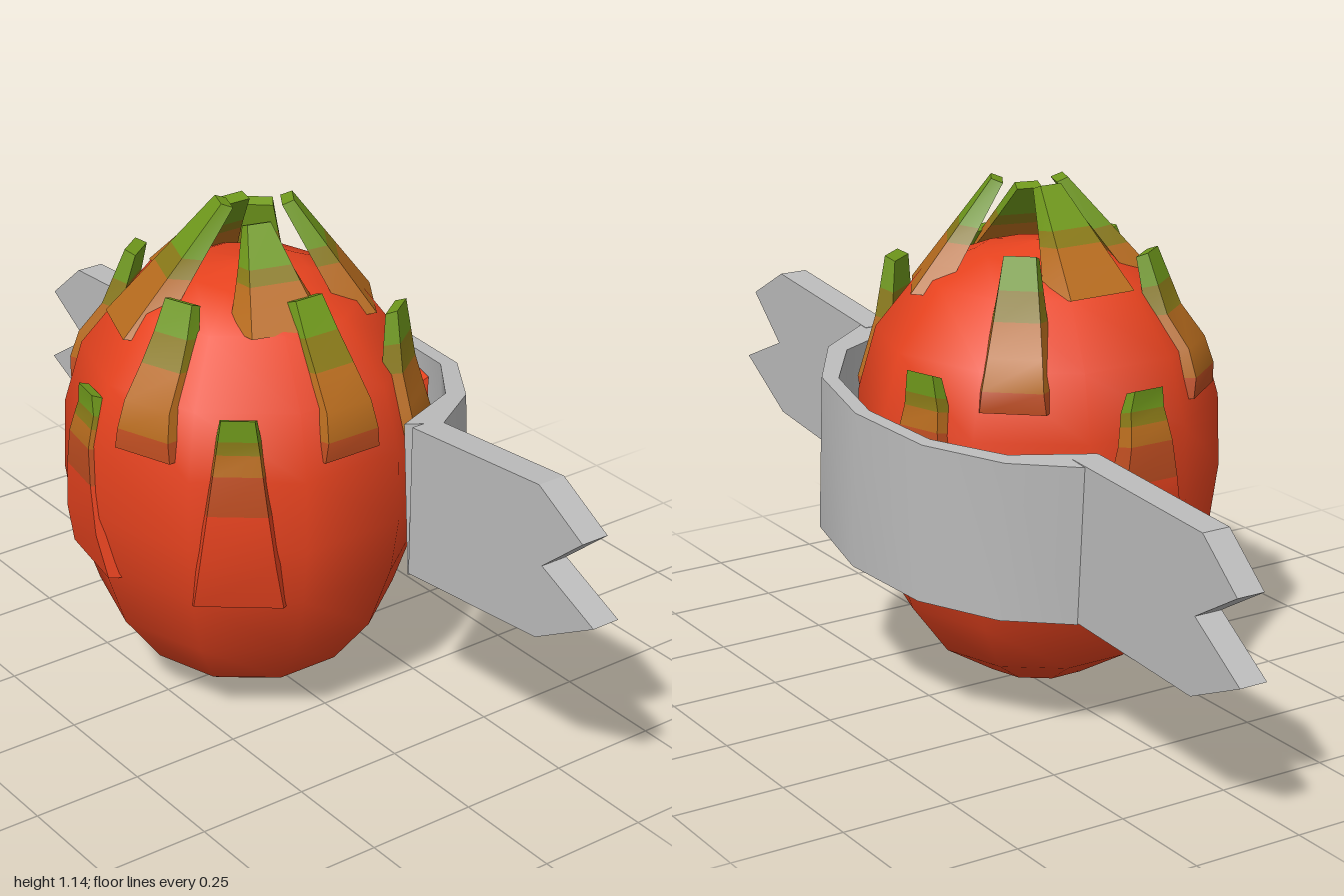
import * as THREE from 'three';
import { toCreasedNormals } from 'three/addons/utils/BufferGeometryUtils.js';

const mat = (name, color) => {
  const m = new THREE.MeshStandardMaterial({ color });
  m.name = name;
  return m;
};

// Fruit outline: [radius, height]
const PROFILE = [[0, 0.003], [0.118, 0.028], [0.236, 0.1], [0.324, 0.218], [0.376, 0.37],
  [0.394, 0.5], [0.389, 0.66], [0.35, 0.8], [0.25, 0.93], [0.13, 0.98], [0, 1.0]];
const CX = -0.035;

function fruitRadius(y) {
  for (let i = 1; i < PROFILE.length; i++) {
    const [r0, y0] = PROFILE[i - 1], [r1, y1] = PROFILE[i];
    if (y <= y1) return THREE.MathUtils.lerp(r0, r1, (y - y0) / (y1 - y0));
  }
  return 0;
}

// Closed solid through four-cornered rings; one geometry group per section
function loft(rings) {
  const tris = [];
  const quad = (a, b, c, d) => tris.push([a, b, c], [a, c, d]);
  const counts = [];
  for (let i = 0; i < rings.length - 1; i++) {
    const p = rings[i], q = rings[i + 1], start = tris.length;
    if (i === 0) quad(p[3], p[2], p[1], p[0]);
    for (let k = 0; k < 4; k++) {
      const n = (k + 1) % 4;
      quad(p[k], p[n], q[n], q[k]);
    }
    if (i === rings.length - 2) quad(...q);
    counts.push(tris.length - start);
  }
  // make the faces point outward
  const mid = rings[0][0];
  let volume = 0;
  for (const [a, b, c] of tris) {
    volume += a.clone().sub(mid).dot(b.clone().sub(mid).cross(c.clone().sub(mid)));
  }
  if (volume < 0) tris.forEach((t) => t.reverse());
  const geo = new THREE.BufferGeometry().setFromPoints(tris.flat());
  let at = 0;
  counts.forEach((n, i) => {
    geo.addGroup(at, n * 3, i);
    at += n * 3;
  });
  return toCreasedNormals(geo, 0.6);
}

// One leaf scale lying on the fruit; tipR is its tip's distance from the axis
function scaleGeometry({ angle, y0, y1, tipR, w0, w1, lift }, stops) {
  const a = THREE.MathUtils.degToRad(angle);
  const out = new THREE.Vector3(Math.sin(a), 0, Math.cos(a));
  const side = new THREE.Vector3(Math.cos(a), 0, -Math.sin(a));
  const baseR = fruitRadius(y0);
  return loft(stops.map((t) => {
    const y = THREE.MathUtils.lerp(y0, y1, t);
    let r = THREE.MathUtils.lerp(baseR, tipR, t);
    if (t > 0 && t < 1) r = Math.max(r, fruitRadius(y) + lift);
    const w = THREE.MathUtils.lerp(w0, w1, t);
    const flare = THREE.MathUtils.lerp(1.3, 1.1, t);
    const thick = THREE.MathUtils.lerp(0.07, 0.025, t);
    const at = (s, d, dy) => new THREE.Vector3(CX, y + dy, 0)
      .addScaledVector(out, d).addScaledVector(side, s);
    const drop = -0.01 * t;
    return [at(-w, r, 0), at(w, r, 0), at(w * flare, r - thick, drop), at(-w * flare, r - thick, drop)];
  }));
}

export function createModel() {
  const model = new THREE.Group();
  const red = mat('fruitRed', 0xe8431f);
  const rust = mat('rust', 0xbc4c20);
  const brown = mat('orangeBrown', 0xb86c1e);
  const olive = mat('olive', 0x8a7a18);
  const green = mat('leafGreen', 0x70991c);
  const gray = mat('ribbonGray', 0xbcbcbc);

  const add = (name, geo, material, parent = model) => {
    const mesh = new THREE.Mesh(geo, material);
    mesh.name = name;
    parent.add(mesh);
    return mesh;
  };

  // Fruit body, slightly deeper than wide
  const body = new THREE.LatheGeometry(PROFILE.map(([r, y]) => new THREE.Vector2(r, y)), 10, Math.PI / 10);
  body.scale(1, 1, 1.035).translate(CX, 0, 0);
  add('fruitBody', body, red);

  // Leaf scales in rows: [angle, base height, tip height, tip radius, lift]
  const rows = [
    { name: 'lowerScale', w0: 0.095, w1: 0.035, stops: [0, 0.25, 0.52, 0.72, 0.82, 0.89, 1],
      mats: [red, red, rust, brown, olive, green],
      items: [[-38, 0.36, 0.805, 0.385, 0.01], [-100, 0.36, 0.77, 0.375, 0.004],
        [180, 0.36, 0.77, 0.42, 0.045], [108, 0.36, 0.79, 0.39, 0.01]] },
    { name: 'hiddenScale', w0: 0.09, w1: 0.035, stops: [0, 0.35, 0.7, 1],
      mats: [red, red, red],
      items: [[76, 0.3, 0.66, 0.42, 0.02]] },
    { name: 'middleScale', w0: 0.07, w1: 0.034, stops: [0, 0.15, 0.35, 0.58, 0.78, 1],
      mats: [rust, brown, brown, olive, green],
      items: [[0, 0.69, 0.99, 0.225, 0.015], [36, 0.62, 0.94, 0.345, 0.015], [-70, 0.69, 0.99, 0.245, 0.01],
        [-143, 0.7, 1.0, 0.26, 0.015], [139, 0.72, 1.03, 0.27, 0.015]] },
    { name: 'topScale', w0: 0.08, w1: 0.026, stops: [0, 0.25, 0.45, 0.6, 1],
      mats: [brown, brown, olive, green],
      items: [[-110, 0.88, 1.14, 0.06, 0.015], [180, 0.93, 1.13, 0.05, 0.015],
        [58, 0.9, 1.14, 0.1, 0.015], [-15, 0.93, 1.11, 0.08, 0.015]] },
  ];
  for (const { name, w0, w1, stops, mats, items } of rows) {
    const group = new THREE.Group();
    group.name = name + 's';
    model.add(group);
    for (const [angle, y0, y1, tipR, lift] of items) {
      add(name, scaleGeometry({ angle, y0, y1, tipR, w0, w1, lift }, stops), mats, group);
    }
  }

  // Ribbon band, tilted down towards the back: [outer x, outer z, inner x, inner z]
  const ribbon = new THREE.Group();
  ribbon.name = 'ribbon';
  model.add(ribbon);
  const half = [[0.155, 0.455, 0.09, 0.405], [0.29, 0.365, 0.262, 0.33],
    [0.393, 0.21, 0.362, 0.19]];
  const path = [...half, [0.43, 0, 0.396, 0],
    ...half.slice().reverse().map(([a, b, c, d]) => [a, -b, c, -d])];
  const rings = path.map(([ox, oz, ix, iz]) => {
    const point = (x, z, s) => new THREE.Vector3(x, 0.515 + 0.095 * z + s * 0.175, z + s * -0.012);
    return [point(ox, oz, 1), point(ox, oz, -1), point(ix, iz, -1), point(ix, iz, 1)];
  });
  const band = loft(rings);
  band.clearGroups();
  add('ribbonBand', band, gray, ribbon);

  // Notched ribbon tails: outlines as [z, y]
  const tails = {
    frontTail: [[0.42, 0.732], [0.82, 0.77], [0.955, 0.695], [0.84, 0.595], [1, 0.525], [0.83, 0.425], [0.42, 0.383]],
    backTail: [[-0.42, 0.652], [-0.87, 0.628], [-0.985, 0.53], [-0.85, 0.45], [-1, 0.35], [-0.84, 0.278], [-0.41, 0.302]],
  };
  for (const [name, outline] of Object.entries(tails)) {
    const shape = new THREE.Shape(outline.map(([z, y]) => new THREE.Vector2(-z, y)));
    const geo = new THREE.ExtrudeGeometry(shape, { depth: 0.065, bevelEnabled: false });
    geo.rotateY(Math.PI / 2).translate(0.09, 0, 0);
    add(name, geo, gray, ribbon);
  }
  return model;
}
